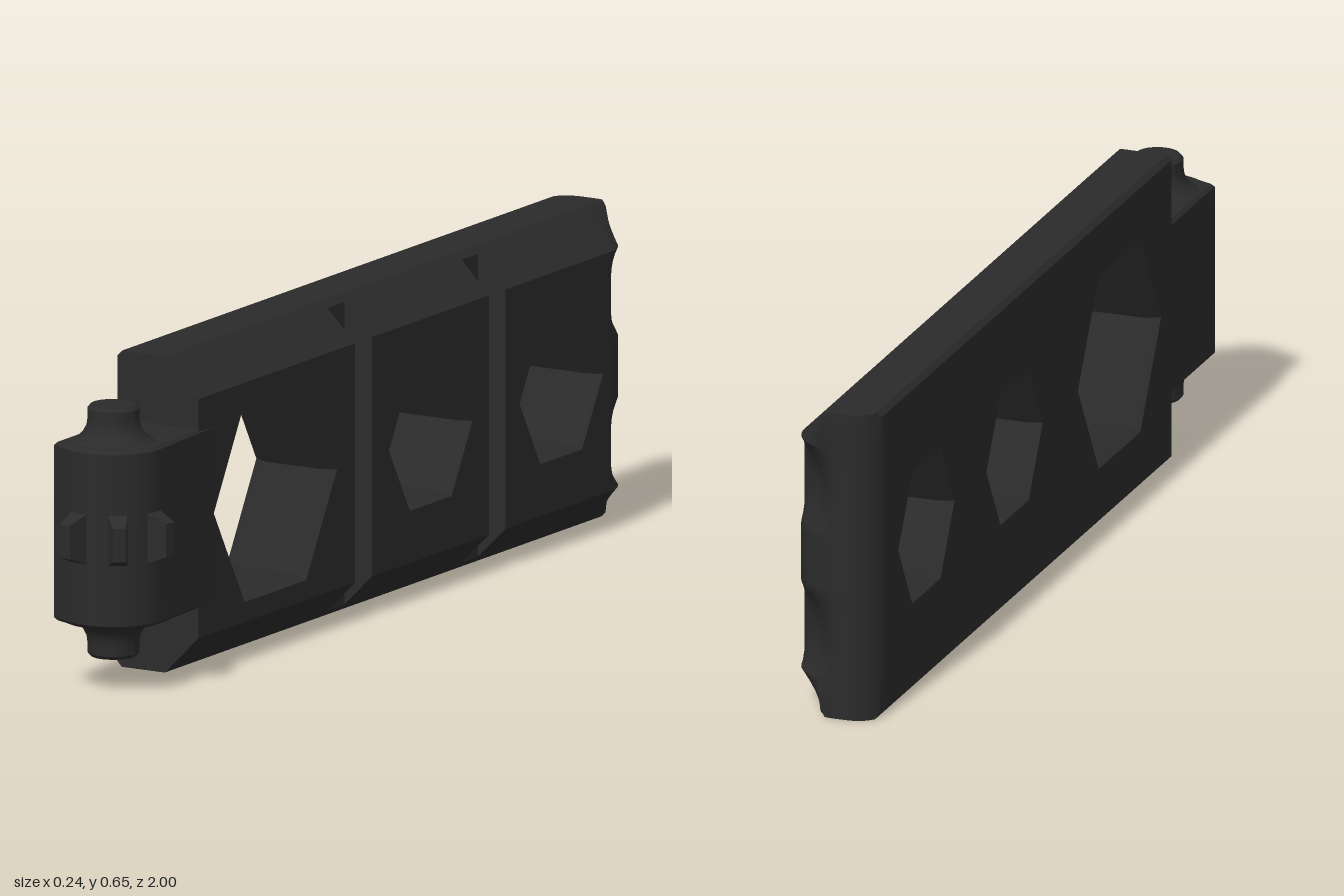
import * as THREE from 'three';
import { toCreasedNormals } from 'three/addons/utils/BufferGeometryUtils.js';

const XMIN = -0.122, XMAX = 0.067, H = 0.648, MID = H / 2;
const PIN_X = -0.028, PIN_Z = 0.85;

export function createModel() {
  const group = new THREE.Group();
  const black = new THREE.MeshStandardMaterial({ color: 0x2b2b2b });
  black.name = 'charcoal';

  const add = (name, geometry) => {
    const mesh = new THREE.Mesh(toCreasedNormals(geometry, 0.5), black);
    mesh.name = name;
    group.add(mesh);
    return mesh;
  };
  const shapeOf = (pts) => new THREE.Shape(pts.map(([x, y]) => new THREE.Vector2(x, y)));

  // Prism with an x-y profile running between two z positions
  const prism = (name, pts, z0, z1) => {
    const g = new THREE.ExtrudeGeometry(shapeOf(pts), { depth: z1 - z0, bevelEnabled: false });
    add(name, g.translate(0, 0, z0));
  };

  // Solid through horizontal closed sections, listed from bottom to top
  const loft = (sections) => {
    const n = sections[0].length, pos = [], idx = [];
    sections.forEach((s) => s.forEach((p) => pos.push(...p)));
    for (let i = 0; i < sections.length - 1; i++) {
      for (let j = 0; j < n; j++) {
        const a = i * n + j, b = i * n + (j + 1) % n;
        idx.push(a, b, b + n, a, b + n, a + n);
      }
    }
    const top = (sections.length - 1) * n;
    for (let j = 1; j < n - 1; j++) idx.push(0, j + 1, j, top, top + j, top + j + 1);
    const g = new THREE.BufferGeometry();
    g.setAttribute('position', new THREE.Float32BufferAttribute(pos, 3));
    g.setIndex(idx);
    return g;
  };

  // Hexagonal windows: centre z, rim radius, inner radius
  const windows = [
    { z: 0.385, rim: 0.236, inner: 0.221 },
    { z: -0.21, rim: 0.16, inner: 0.149 },
    { z: -0.71, rim: 0.16, inner: 0.149 },
  ];
  const spans = [[0.08, 0.68], [-0.434, 0.015], [-0.88, -0.497]];
  const rail = [[XMIN, 0.01], [-0.112, 0], [-0.012, 0], [XMAX, 0.079], [XMAX, 0.09], [XMIN, 0.09]];

  spans.forEach(([z0, z1], i) => {
    const w = windows[i];
    // Flat panel with its window
    const panel = shapeOf([[-z1, 0.09], [-z0, 0.09], [-z0, H - 0.09], [-z1, H - 0.09]]);
    const hex = [];
    for (let k = 0; k < 6; k++) {
      const a = -k * Math.PI / 3;
      hex.push(new THREE.Vector2(-w.z + w.rim * Math.cos(a), MID + w.rim * Math.sin(a)));
    }
    panel.holes.push(new THREE.Path(hex));
    const g = new THREE.ExtrudeGeometry(panel, { depth: XMAX - XMIN, bevelEnabled: false });
    add('panel', g.rotateY(Math.PI / 2).translate(XMIN, 0, 0));

    // Bevelled lining of the window
    const lining = new THREE.LatheGeometry([
      new THREE.Vector2(w.rim, XMAX), new THREE.Vector2(w.inner, XMAX - 0.03),
      new THREE.Vector2(w.inner, XMIN + 0.03), new THREE.Vector2(w.rim, XMIN),
    ], 6);
    add('windowLining', lining.rotateZ(-Math.PI / 2).translate(0, MID, w.z));

    // Chamfered long edges
    prism('lowerRail', rail, z0, z1);
    prism('upperRail', rail.map(([x, y]) => [x, H - y]).reverse(), z0, z1);
  });

  // Floors of the two cross grooves
  const floor = [[XMIN, 0.01], [-0.112, 0], [-0.012, 0], [0.002, 0.014],
    [0.002, H - 0.014], [-0.012, H], [-0.112, H], [XMIN, H - 0.01]];
  prism('grooveFloor', floor, 0.015, 0.08);
  prism('grooveFloor', floor, -0.497, -0.434);

  // Rounded rear end with two shallow scoops on its front corner
  const sections = [];
  const levels = [0, 0.01, 0.079];
  for (let k = 1; k <= 40; k++) levels.push(0.079 + (H - 0.158) * k / 40);
  levels.push(H - 0.01, H);
  for (const y of levels) {
    const edge = Math.min(y, H - y);
    const hi = Math.min(XMAX, -0.012 + edge), lo = Math.max(XMIN, -0.112 - edge);
    const d = Math.abs(y - MID) - 0.155;
    const scoop = 0.03 * Math.max(0, 1 - (d / 0.09) ** 2);
    const out = [[hi, y, -0.88]];
    for (let k = 0; k <= 12; k++) {
      const a = k / 12 * Math.PI / 2, r = 0.1 - scoop * Math.sin(2 * a);
      out.push([Math.min(hi, -0.033 + r * Math.cos(a)), y, -0.9 - r * Math.sin(a)]);
    }
    for (let k = 0; k <= 8; k++) {
      const a = (1 + k / 8) * Math.PI / 2;
      out.push([Math.max(lo, -0.064 + 0.058 * Math.cos(a)), y, -0.942 - 0.058 * Math.sin(a)]);
    }
    out.push([lo, y, -0.88]);
    sections.push(out);
  }
  add('roundedEnd', loft(sections));

  // Hinge knuckle
  const outline = [[0, -0.62], [0, -0.67], [XMIN, -0.67], [XMIN, -0.925]];
  for (let k = 0; k <= 20; k++) {
    const a = (125 - 125 * k / 20) * Math.PI / 180;
    outline.push([PIN_X + 0.108 * Math.cos(a), -PIN_Z - 0.108 * Math.sin(a)]);
  }
  outline.push([0.078, -0.81], [XMAX, -0.62]);
  const knuckle = new THREE.ExtrudeGeometry(shapeOf(outline), {
    depth: 0.352, bevelSize: 0.007, bevelThickness: 0.007, bevelOffset: -0.007, bevelSegments: 1,
  });
  add('hingeKnuckle', knuckle.rotateX(-Math.PI / 2).translate(0, MID - 0.176, 0));

  // Flared hinge pins, above and below
  const pin = [[0.088, 0.18], [0.075, 0.188], [0.062, 0.2], [0.054, 0.215], [0.052, 0.23],
    [0.052, 0.25], [0.046, 0.257], [0, 0.257]].map(([r, y]) => new THREE.Vector2(r, y));
  for (const turn of [0, Math.PI]) {
    const g = new THREE.LatheGeometry(pin, 32).rotateX(turn);
    add(turn ? 'lowerPin' : 'upperPin', g.translate(PIN_X, MID, PIN_Z));
  }

  // Tapered teeth around the knuckle
  for (const deg of [-9, 36, 81]) {
    const g = new THREE.BoxGeometry(0.048, 0.125, 0.07);
    const p = g.attributes.position;
    for (let i = 0; i < p.count; i++) {
      if (p.getZ(i) > 0) p.setXY(i, p.getX(i) * 0.55, p.getY(i) * 0.55);
    }
    g.translate(0, 0, 0.114).rotateY(deg * Math.PI / 180);
    add('tooth', g.translate(PIN_X, MID, PIN_Z));
  }

  return group;
}
